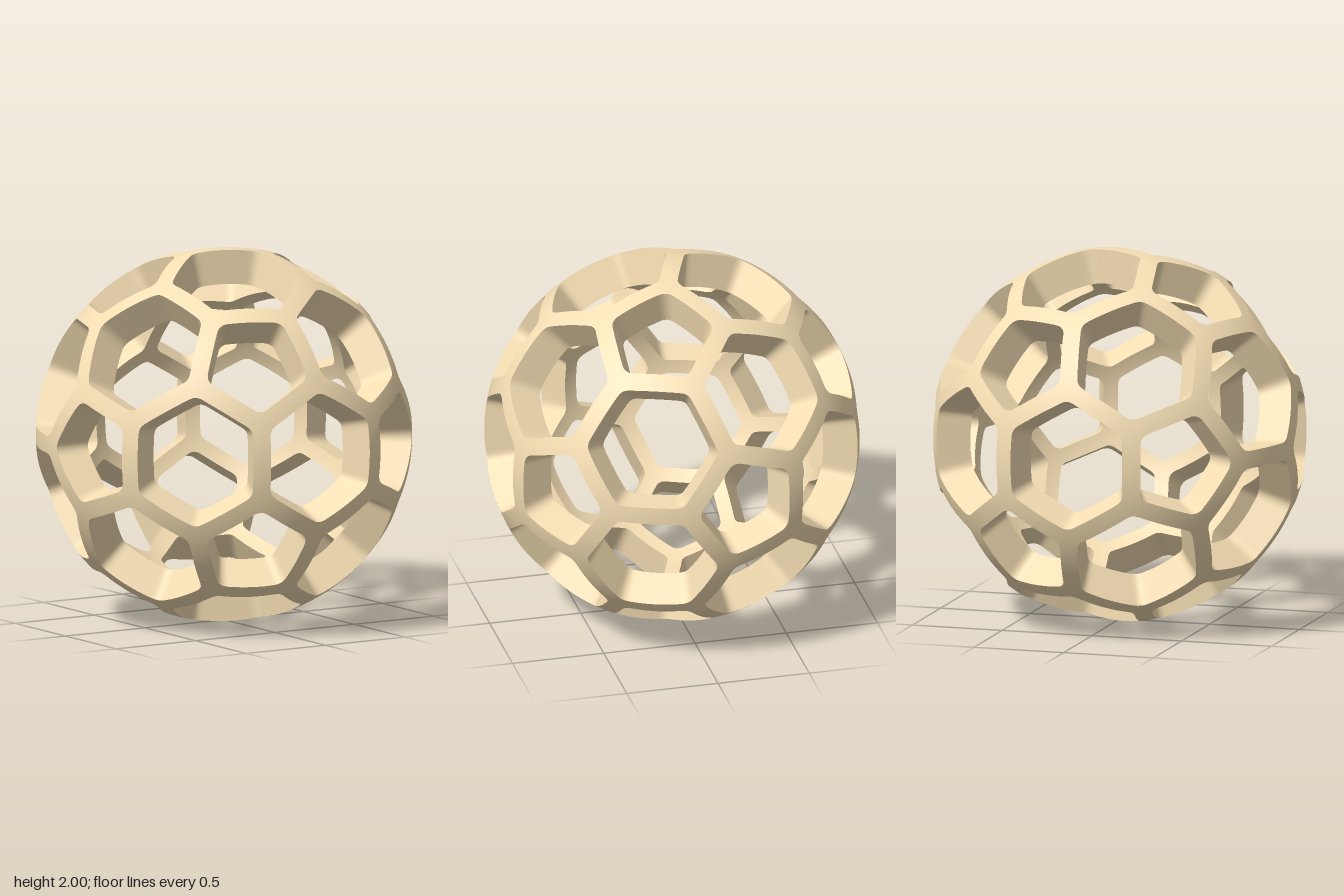
import * as THREE from 'three';
import { mergeGeometries } from 'three/addons/utils/BufferGeometryUtils.js';

const OUTER = 1, INNER = 0.815; // shell radii
const HALF_STRUT = 0.048;       // half strut width as an angle
const CORNER = 0.065;           // rounding of the hole corners
const STEPS = 18, ROWS = 3;

// Unit vector from polar angle (from +z) and azimuth (from +x)
function polar(p, a) {
  return new THREE.Vector3(Math.sin(p) * Math.cos(a), Math.sin(p) * Math.sin(a), Math.cos(p));
}

// Pentagon centres, hexagon centres and corner points of a football-like cage
function cage() {
  const near = THREE.MathUtils.degToRad(37.3774), far = THREE.MathUtils.degToRad(79.1877);
  const pents = [];
  for (let k = 0; k < 3; k++) {
    const a = (k * 2 * Math.PI) / 3;
    for (const v of [polar(near, a), polar(far, a + Math.PI)]) pents.push(v, v.clone().negate());
  }
  const touch = (a, b) => Math.abs(a.dot(b) - 1 / Math.sqrt(5)) < 0.01;
  const hexes = [], corners = [];
  pents.forEach((a, i) => pents.forEach((b, j) => {
    if (!touch(a, b)) return;
    corners.push(a.clone().multiplyScalar(2).add(b).normalize());
    pents.forEach((c, k) => {
      if (i < j && j < k && touch(a, c) && touch(b, c)) hexes.push(a.clone().add(b).add(c).normalize());
    });
  }));
  return { pents, hexes, corners };
}

// The n corners round a face centre, in anticlockwise order from outside
function faceCorners(centre, n, corners) {
  const ring = [...corners].sort((a, b) => b.dot(centre) - a.dot(centre)).slice(0, n);
  const u = ring[0].clone().addScaledVector(centre, -ring[0].dot(centre)).normalize();
  const w = centre.clone().cross(u);
  const angle = (v) => Math.atan2(v.dot(w), v.dot(u));
  return ring.map((v) => [angle(v), v]).sort((a, b) => a[0] - b[0]).map((e) => e[1]);
}

// Distance from the centre to a rounded regular polygon, phi measured from a side's middle
function roundedPolygon(apothem, n, phi) {
  const half = Math.PI / n;
  if (Math.abs(apothem * Math.tan(phi)) <= (apothem - CORNER) * Math.tan(half)) return apothem / Math.cos(phi);
  const d = (apothem - CORNER) / Math.cos(half), psi = half - Math.abs(phi);
  return d * Math.cos(psi) + Math.sqrt(CORNER ** 2 - (d * Math.sin(psi)) ** 2);
}

// Closed band of quads through rows of points; sign gives sphere normals
function band(rows, sign) {
  const n = rows[0].length, index = [];
  for (let j = 0; j < rows.length - 1; j++) {
    for (let i = 0; i < n; i++) {
      const k = (i + 1) % n, a = j * n + i, b = j * n + k;
      index.push(a, a + n, b + n, a, b + n, b);
    }
  }
  const geo = new THREE.BufferGeometry().setFromPoints(rows.flat());
  geo.setIndex(index);
  geo.computeVertexNormals();
  if (sign) {
    rows.flat().forEach((p, i) => {
      const m = p.clone().normalize().multiplyScalar(sign);
      geo.attributes.normal.setXYZ(i, m.x, m.y, m.z);
    });
  }
  return geo;
}

export function createModel() {
  const { pents, hexes, corners } = cage();
  const outer = [], inner = [], walls = [];

  const addFace = (centre, n) => {
    const ring = faceCorners(centre, n, corners);
    const edge = [], hole = [];
    ring.forEach((a, i) => {
      const b = ring[(i + 1) % n];
      const mid = a.clone().add(b).normalize();
      const side = mid.angleTo(centre);
      const apothem = Math.tan(side - HALF_STRUT);
      for (let s = 0; s < STEPS; s++) {
        const p = a.clone().lerp(b, s / STEPS);
        const d = p.clone().divideScalar(p.dot(centre)).sub(centre);
        const phi = Math.acos(Math.min(1, Math.tan(side) / d.length()));
        edge.push(p.normalize());
        hole.push(d.setLength(roundedPolygon(apothem, n, phi)).add(centre).normalize());
      }
    });
    // Rows from hole rim to the middle of the struts
    const rows = [];
    for (let r = 0; r <= ROWS; r++) rows.push(hole.map((h, i) => h.clone().lerp(edge[i], r / ROWS).normalize()));
    const scaled = (radius) => rows.map((row) => row.map((p) => p.clone().multiplyScalar(radius)));
    const out = scaled(OUTER), inn = scaled(INNER);
    outer.push(band(out, 1));
    inner.push(band([...inn].reverse(), -1));
    walls.push(band([inn[0], out[0]], 0));
  };
  pents.forEach((c) => addFace(c, 5));
  hexes.forEach((c) => addFace(c, 6));

  const material = new THREE.MeshStandardMaterial({ color: 0xf5deb3 });
  const group = new THREE.Group();
  group.name = 'hollowCageBall';
  for (const [name, parts] of Object.entries({ outerStruts: outer, innerStruts: inner, holeWalls: walls })) {
    const mesh = new THREE.Mesh(mergeGeometries(parts), material);
    mesh.name = name;
    mesh.position.y = 1;
    group.add(mesh);
  }
  return group;
}
